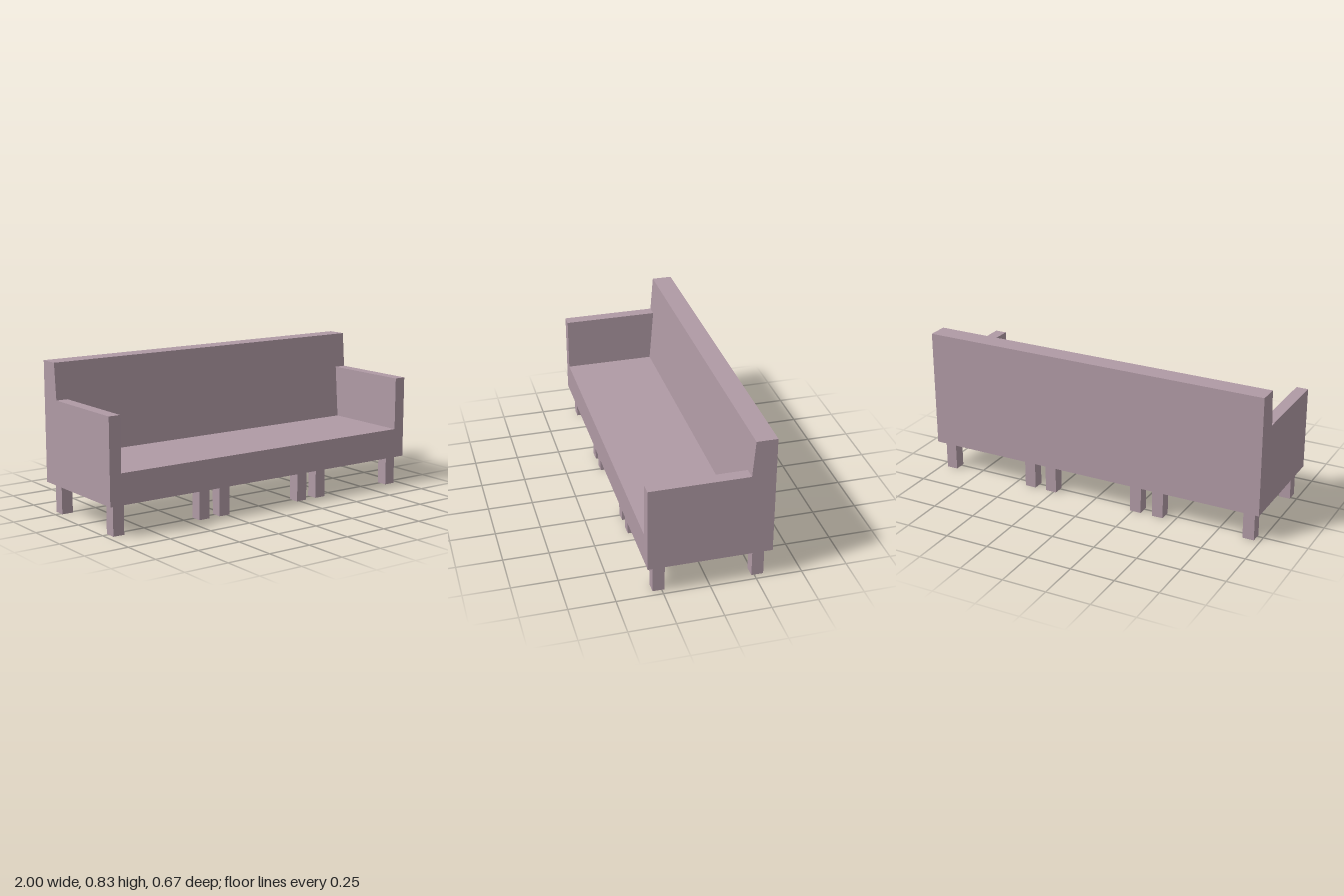
import * as THREE from 'three';

const fabric = new THREE.MeshStandardMaterial({ color: 0xb09aa5 });

// Main dimensions
const halfLength = 1, halfDepth = 0.333, armWidth = 0.067;
const bottomY = 0.167, seatY = 0.335, armY = 0.635, backY = 0.835;
const backTopZ = -0.22, backArmZ = -0.204, backSeatZ = -0.18;

// Extrudes a side profile of [z, y] points along x, from x0 to x1
function sideSlab(name, points, x0, x1) {
  const shape = new THREE.Shape(points.map(([z, y]) => new THREE.Vector2(-z, y)));
  const geometry = new THREE.ExtrudeGeometry(shape, { depth: x1 - x0, bevelEnabled: false });
  geometry.rotateY(Math.PI / 2).translate(x0, 0, 0);
  const mesh = new THREE.Mesh(geometry, fabric);
  mesh.name = name;
  return mesh;
}

// Profile with a flat front part at topY and the sloping backrest behind it
const profile = (topY, backZ) => [
  [halfDepth, bottomY], [-halfDepth, bottomY], [-halfDepth, backY],
  [backTopZ, backY], [backZ, topY], [halfDepth, topY],
];

export function createModel() {
  const sofa = new THREE.Group();
  sofa.name = 'sofa';

  // Seat with backrest, between two side panels that carry the armrests
  const inner = halfLength - armWidth;
  sofa.add(sideSlab('seatAndBackrest', profile(seatY, backSeatZ), -inner, inner));
  sofa.add(sideSlab('leftArm', profile(armY, backArmZ), inner, halfLength));
  sofa.add(sideSlab('rightArm', profile(armY, backArmZ), -halfLength, -inner));

  // Six square legs in each of two rows, two per seat section
  const legs = new THREE.Group();
  legs.name = 'legs';
  const legGeometry = new THREE.BoxGeometry(0.065, bottomY, 0.065);
  for (const z of [0.267, -0.267]) {
    for (const x of [-0.933, -0.4, -0.267, 0.267, 0.4, 0.933]) {
      const leg = new THREE.Mesh(legGeometry, fabric);
      leg.name = z > 0 ? 'frontLeg' : 'backLeg';
      leg.position.set(x, bottomY / 2, z);
      legs.add(leg);
    }
  }
  sofa.add(legs);
  return sofa;
}
